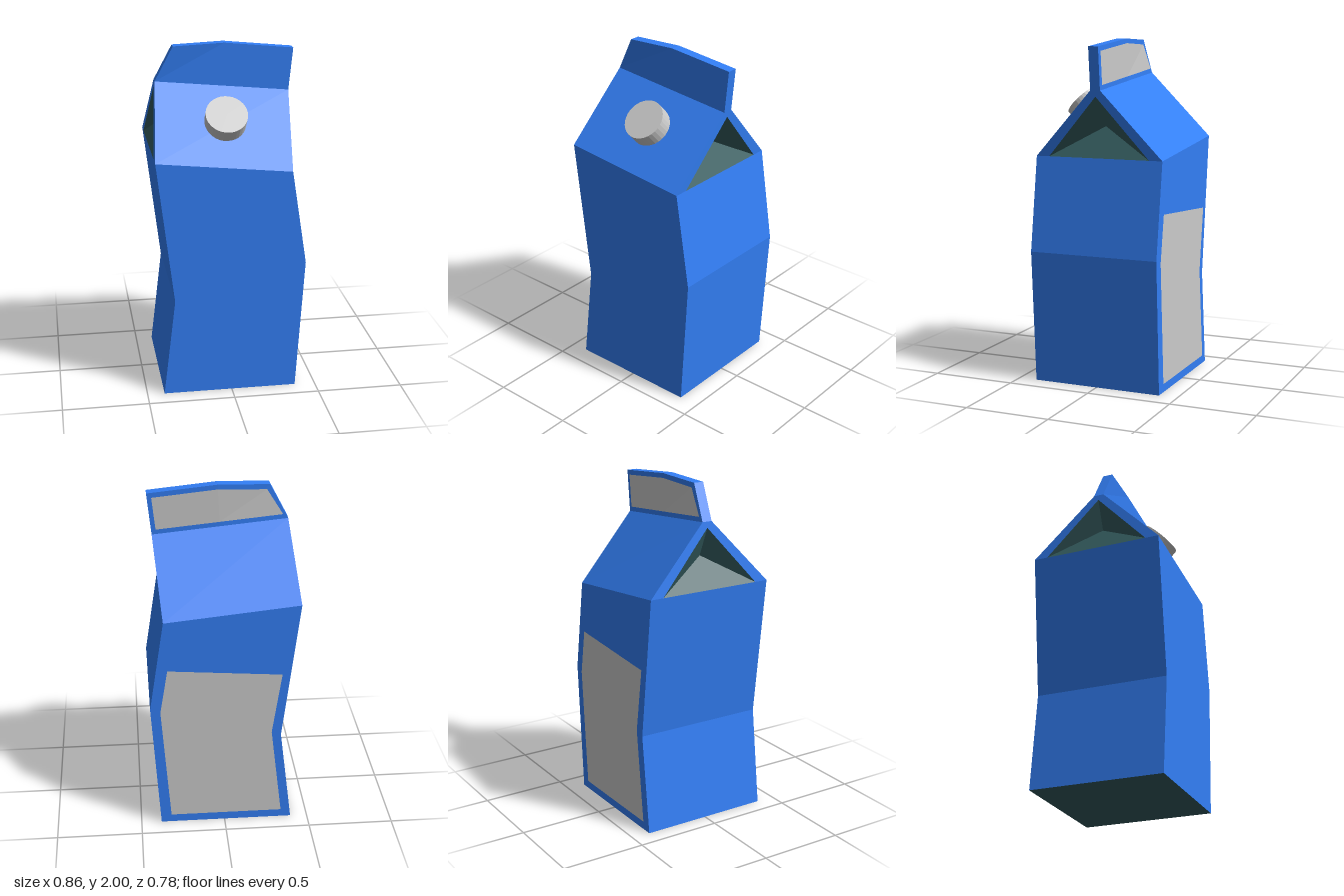
import * as THREE from 'three';

const BLUE = 0x337ff6, TEAL = 0x345c5f, GREY = 0xcccccc;

// Flat-shaded mesh from convex faces, corners counter-clockwise from outside
function faceMesh(name, color, faces) {
  const pos = [];
  for (const f of faces)
    for (let i = 1; i < f.length - 1; i++) pos.push(...f[0], ...f[i], ...f[i + 1]);
  const geo = new THREE.BufferGeometry();
  geo.setAttribute('position', new THREE.Float32BufferAttribute(pos, 3));
  geo.computeVertexNormals();
  const mesh = new THREE.Mesh(geo, new THREE.MeshStandardMaterial({ color, flatShading: true }));
  mesh.name = name;
  return mesh;
}

// Cross-sections of the crooked carton: [left x, left y, right x, right y, half depth]
const SECTIONS = [
  [-0.40, 0, 0.38, 0, 0.39],
  [-0.33, 0.58, 0.43, 0.78, 0.39],
  [-0.43, 1.41, 0.345, 1.33, 0.39],
  [-0.39, 1.79, 0.385, 1.715, 0.03],
];
const ring = ([xl, yl, xr, yr, d]) => [[xl, yl, d], [xr, yr, d], [xr, yr, -d], [xl, yl, -d]];

// Fin columns: [bottom x, bottom y, top x, top y, forward bend at top]
const FIN = [
  [-0.39, 1.79, -0.285, 1.99, 0.013],
  [0, 1.752, 0.01, 2.0, 0],
  [0.385, 1.715, 0.41, 1.96, 0],
];
const FIN_PANEL = [
  [-0.36, 1.815, -0.268, 1.962, 0.011],
  [0, 1.78, 0.01, 1.973, 0],
  [0.362, 1.745, 0.382, 1.935, 0],
];

export function createModel() {
  const group = new THREE.Group();
  group.name = 'carton';

  // Walls and sloping roof; the gable ends are made separately
  const shell = [];
  const rings = SECTIONS.map(ring);
  for (let s = 0; s < 3; s++)
    for (let k = 0; k < 4; k++) {
      if (s === 2 && k % 2 === 1) continue;
      const n = (k + 1) % 4;
      shell.push([rings[s][k], rings[s][n], rings[s + 1][n], rings[s + 1][k]]);
    }
  group.add(faceMesh('cartonBody', BLUE, shell));
  group.add(faceMesh('cartonBase', TEAL, [[...rings[0]].reverse()]));

  // Gable ends: a blue frame around a triangular tuck folded inwards
  for (const side of [1, -1]) {
    const col = side > 0 ? 2 : 0;
    const [ex, ey] = SECTIONS[2].slice(col), [rx, ry] = SECTIONS[3].slice(col);
    const at = (t, z) => [ex + (rx - ex) * t, ey + (ry - ey) * t, z];
    const eF = at(0, 0.39), eB = at(0, -0.39), rF = at(1, 0.03), rB = at(1, -0.03);
    const bF = at(0, 0.31), bB = at(0, -0.31), apex = at(0.91, 0);
    const inner = [ex - side * 0.11, ey + 0.175, 0];
    const orient = (faces) => (side > 0 ? faces : faces.map((f) => [...f].reverse()));
    const label = side > 0 ? 'left' : 'right';
    group.add(faceMesh(label + 'GableFrame', BLUE,
      orient([[eF, bF, apex, rF], [rF, apex, rB], [rB, apex, bB, eB]])));
    group.add(faceMesh(label + 'GableTuck', TEAL,
      orient([[bF, bB, inner], [bF, inner, apex], [bB, apex, inner]])));
  }

  // Top fin, bent slightly forward at one corner
  const bottom = (c, z) => [c[0], c[1], z];
  const top = (c, z) => [c[2], c[3], z + c[4]];
  const fin = [];
  const d = 0.03;
  for (let i = 0; i < 2; i++) {
    const a = FIN[i], b = FIN[i + 1];
    fin.push([bottom(a, d), bottom(b, d), top(b, d), top(a, d)]);
    fin.push([bottom(b, -d), bottom(a, -d), top(a, -d), top(b, -d)]);
    fin.push([top(a, d), top(b, d), top(b, -d), top(a, -d)]);
  }
  fin.push([bottom(FIN[2], d), bottom(FIN[2], -d), top(FIN[2], -d), top(FIN[2], d)]);
  fin.push([bottom(FIN[0], -d), bottom(FIN[0], d), top(FIN[0], d), top(FIN[0], -d)]);
  group.add(faceMesh('topFin', BLUE, fin));

  // Grey panel on the back of the fin
  const z = -d - 0.003;
  group.add(faceMesh('finPanel', GREY, [0, 1].map((i) => {
    const a = FIN_PANEL[i], b = FIN_PANEL[i + 1];
    return [bottom(b, z), bottom(a, z), top(a, z), top(b, z)];
  })));

  // Grey panel on the back wall: rows of [left x, left y, right x, right y]
  const rows = [
    [-0.34, 0.05, 0.32, 0.05],
    [-0.275, 0.60, 0.372, 0.76],
    [-0.33, 0.98, 0.327, 1.03],
  ];
  const p = (x, y) => [x, y, -0.393];
  group.add(faceMesh('backPanel', GREY, [0, 1].map((i) => {
    const a = rows[i], b = rows[i + 1];
    return [p(a[2], a[3]), p(a[0], a[1]), p(b[0], b[1]), p(b[2], b[3])];
  })));

  // Screw cap standing on the front roof slope
  const cap = new THREE.Mesh(
    new THREE.CylinderGeometry(0.12, 0.12, 0.09, 32),
    new THREE.MeshStandardMaterial({ color: GREY, flatShading: true }));
  cap.name = 'screwCap';
  cap.position.set(-0.01, 1.608, 0.222);
  cap.rotation.x = Math.atan2(0.36, 0.38);
  group.add(cap);

  return group;
}
